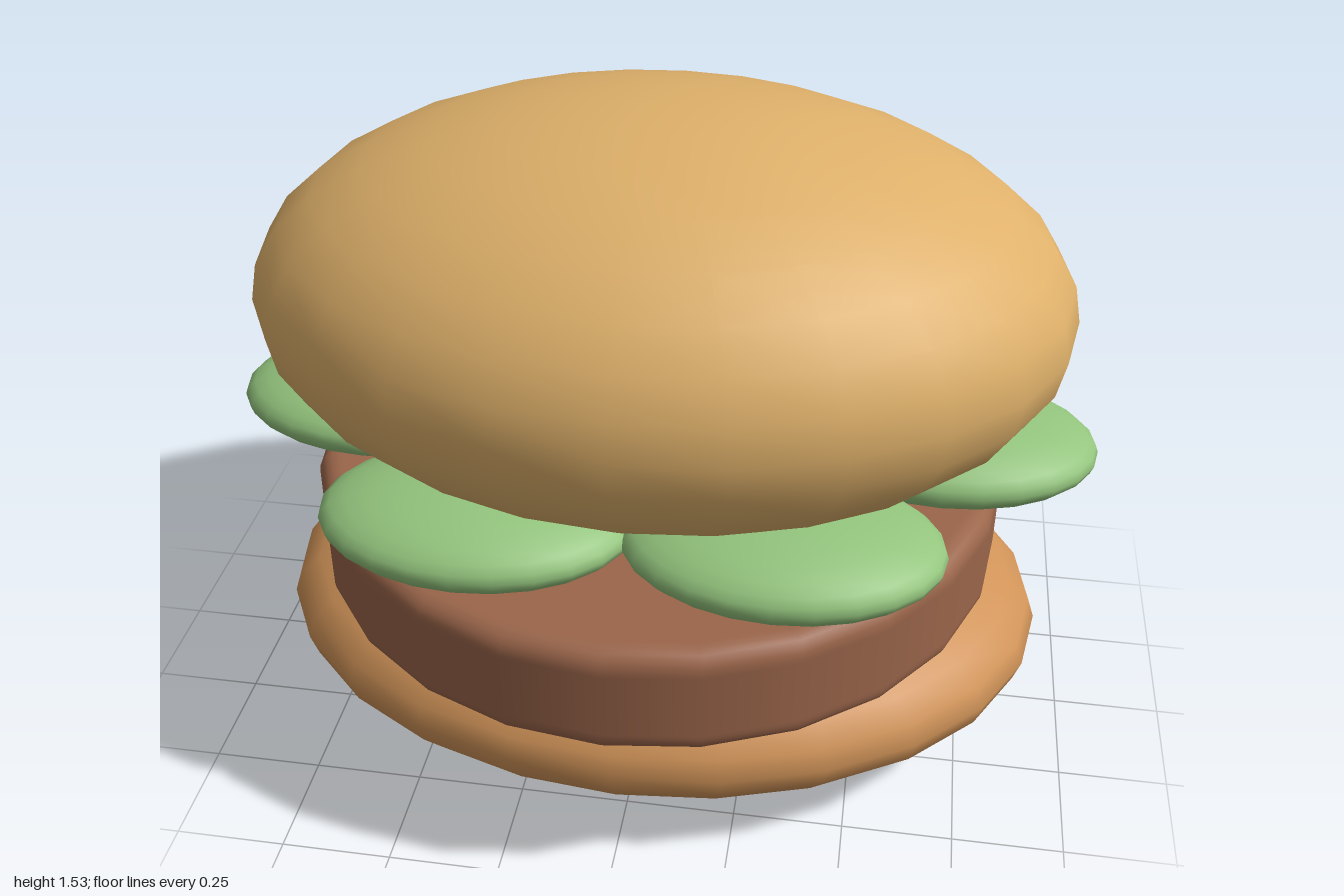
import * as THREE from 'three';

function material(name, color) {
  const m = new THREE.MeshStandardMaterial({ color });
  m.name = name;
  return m;
}

// Smooth ellipsoid from a stretched sphere
function ellipsoid(name, mat, [x, y, z], [rx, ry, rz]) {
  const geometry = new THREE.SphereGeometry(1, 24, 16);
  geometry.scale(rx, ry, rz);
  const mesh = new THREE.Mesh(geometry, mat);
  mesh.name = name;
  mesh.position.set(x, y, z);
  return mesh;
}

// Disc with rounded rims
function roundedDisc(radius, y0, y1, bevel) {
  const points = [new THREE.Vector2(0, y0), new THREE.Vector2(radius - bevel - 0.01, y0)];
  const steps = 5;
  const corner = (cy, start) => {
    for (let i = 0; i <= steps; i++) {
      const a = start + (i / steps) * Math.PI / 2;
      points.push(new THREE.Vector2(radius - bevel + bevel * Math.cos(a), cy + bevel * Math.sin(a)));
    }
  };
  corner(y0 + bevel, -Math.PI / 2);
  points.push(new THREE.Vector2(radius, y0 + bevel + 0.01), new THREE.Vector2(radius, y1 - bevel - 0.01));
  corner(y1 - bevel, 0);
  points.push(new THREE.Vector2(radius - bevel - 0.01, y1), new THREE.Vector2(0, y1));
  return new THREE.LatheGeometry(points, 24);
}

export function createModel() {
  const model = new THREE.Group();
  model.name = 'burger';

  const topCrust = material('golden crust', 0xdeb06a);
  const bottomCrust = material('toasted crust', 0xd09358);
  const meat = material('brown meat', 0x9a654a);
  const green = material('lettuce green', 0x93c47d);

  // Buns
  model.add(ellipsoid('bottomBun', bottomCrust, [0, 0.268, 0], [0.915, 0.265, 0.69]));
  model.add(ellipsoid('topBun', topCrust, [0, 1.09, 0], [0.915, 0.44, 0.69]));

  // Patty
  const patty = new THREE.Mesh(roundedDisc(0.795, 0.443, 0.706, 0.045), meat);
  patty.name = 'patty';
  model.add(patty);

  // Ring of six lettuce leaves
  const lettuce = new THREE.Group();
  lettuce.name = 'lettuce';
  for (let i = 0; i < 6; i++) {
    const a = (i * Math.PI) / 3;
    const centre = [0.655 * Math.cos(a), 0.76, 0.515 * Math.sin(a)];
    lettuce.add(ellipsoid('lettuceLeaf', green, centre, [0.345, 0.092, 0.24]));
  }
  model.add(lettuce);

  return model;
}
